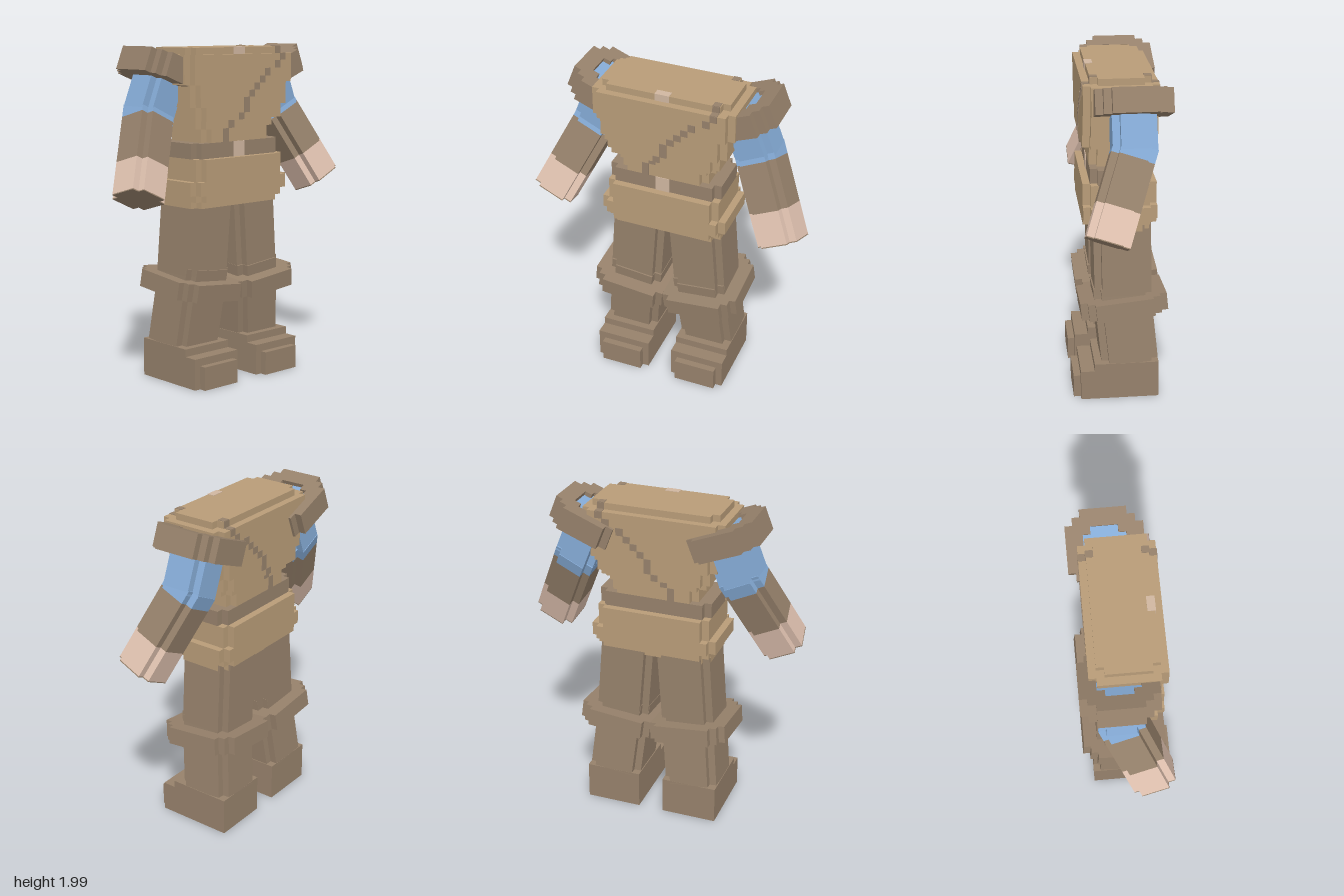
import * as THREE from 'three';

const mat = (name, color) => Object.assign(new THREE.MeshStandardMaterial({ color }), { name });

// Stepped outline from [halfWidth, halfDepth] pairs, widest first
function outline(steps, Kind = THREE.Shape) {
  const quarter = [];
  steps.forEach(([w, d], i) => {
    quarter.push([w, i ? steps[i - 1][1] : 0], [w, d]);
  });
  quarter.shift();
  const flip = quarter.slice().reverse();
  const pts = [
    ...quarter,
    ...flip.map(([x, y]) => [-x, y]),
    ...quarter.map(([x, y]) => [-x, -y]),
    ...flip.map(([x, y]) => [x, -y]),
  ].map(([x, y]) => new THREE.Vector2(x, y));
  return new Kind(pts);
}

// Block with one notch on each upright edge
const notched = (w, d, n = 0.043) => [[w, d - n], [w - n, d]];

// Upright prism between two heights
function prism(name, steps, y0, y1, material, hole) {
  const shape = outline(steps);
  if (hole) shape.holes.push(outline(hole, THREE.Path));
  const geo = new THREE.ExtrudeGeometry(shape, { depth: y1 - y0, bevelEnabled: false });
  geo.rotateX(-Math.PI / 2).translate(0, y0, 0);
  const mesh = new THREE.Mesh(geo, material);
  mesh.name = name;
  return mesh;
}

// Box from its minimum and maximum corners
function box(name, [x0, y0, z0], [x1, y1, z1], material) {
  const mesh = new THREE.Mesh(new THREE.BoxGeometry(x1 - x0, y1 - y0, z1 - z0), material);
  mesh.position.set((x0 + x1) / 2, (y0 + y1) / 2, (z0 + z1) / 2);
  mesh.name = name;
  return mesh;
}

// Group at one joint whose local -y points to the next joint
function limb(name, from, to) {
  const g = new THREE.Group();
  g.name = name;
  const a = new THREE.Vector3(...from);
  const d = new THREE.Vector3(...to).sub(a).normalize();
  g.position.copy(a);
  g.rotation.set(-Math.asin(d.z), 0, Math.atan2(d.x, -d.y), 'ZXY');
  return g;
}

export function createModel() {
  const model = new THREE.Group();
  model.name = 'blockyTunicFigure';
  const tan = mat('tunicTan', 0xb89c78);
  const brown = mat('leatherBrown', 0x96816b);
  const blue = mat('sleeveBlue', 0x85abd6);
  const skin = mat('skin', 0xe0c2b0);
  const buckle = mat('buckle', 0xd0b6a0);

  // Tunic tiers: bottom, top, half width, half depth
  const torso = new THREE.Group();
  torso.name = 'torso';
  [
    [1.94, 1.98, 0.385, 0.172], [1.77, 1.94, 0.43, 0.215], [1.64, 1.77, 0.387, 0.215],
    [1.56, 1.64, 0.345, 0.215], [1.51, 1.56, 0.31, 0.172], [1.43, 1.51, 0.267, 0.172],
    [1.34, 1.43, 0.345, 0.172], [1.21, 1.34, 0.345, 0.215], [1.13, 1.21, 0.387, 0.215],
    [1.09, 1.13, 0.345, 0.215], [1.05, 1.09, 0.345, 0.172],
  ].forEach(([y0, y1, w, d]) => {
    const isBelt = y0 === 1.34;
    torso.add(prism(isBelt ? 'belt' : 'tunicTier', notched(w, d), y0, y1, isBelt ? brown : tan));
  });
  torso.add(box('beltBuckle', [-0.047, 1.34, 0.17], [0.04, 1.43, 0.176], buckle));
  torso.add(box('collarClasp', [-0.047, 1.94, 0.13], [0.04, 1.983, 0.176], buckle));

  // Diagonal sash, stepped on front and back: column, bottom, top, surface depth
  [
    [7, 1.94, 1.98, 0.172], [7, 1.9, 1.94, 0.215], [6, 1.855, 1.9, 0.215],
    [4, 1.81, 1.855, 0.215], [3, 1.77, 1.81, 0.215], [2, 1.73, 1.77, 0.215],
    [1, 1.69, 1.73, 0.215], [0, 1.6, 1.69, 0.215], [-1, 1.56, 1.6, 0.215],
    [-2, 1.51, 1.56, 0.172], [-3, 1.43, 1.51, 0.172],
  ].forEach(([i, y0, y1, d]) => {
    const x = i * 0.0425 - 0.003;
    for (const s of [-1, 1])
      torso.add(box('sash', [x, y0, s * d - 0.004], [x + 0.0425, y1, s * d + 0.004], brown));
  });
  for (const s of [-1, 1]) {
    torso.add(box('sashTop', [0.295, 1.977, s * 0.152 - 0.021], [0.337, 1.983, s * 0.152 + 0.021], brown));
    torso.add(box('sashLedge', [0.295, 1.937, s * 0.195 - 0.021], [0.337, 1.943, s * 0.195 + 0.021], brown));
  }
  model.add(torso);

  const armSection = notched(0.125, 0.125);
  const legSection = notched(0.165, 0.17);
  for (const s of [-1, 1]) {
    const side = s > 0 ? 'left' : 'right';
    const shoulder = [s * 0.408, 1.845, -0.057];
    const elbow = [s * 0.505, 1.6, -0.057];
    const hand = [s * 0.725, 1.14, 0.116];

    // Sleeve inside an open shoulder ring
    const upperArm = limb(side + 'UpperArm', shoulder, elbow);
    upperArm.add(prism('sleeve', armSection, -0.28, 0.045, blue));
    upperArm.add(prism('shoulderPad', [[0.217, 0.13], [0.174, 0.174], [0.13, 0.217]],
      -0.07, 0.07, brown, notched(0.12, 0.12)));

    // Bent forearm with bare hand
    const forearm = limb(side + 'Forearm', elbow, hand);
    forearm.add(prism('sleeveCuff', armSection, -0.05, 0.03, blue));
    forearm.add(prism('bracer', armSection, -0.335, -0.05, brown));
    forearm.add(prism('hand', armSection, -0.532, -0.335, skin));
    forearm.add(prism('handEnd', armSection, -0.538, -0.532, brown));

    // Leg in two sections, the knee band square to the shin
    const hip = [s * 0.178, 1.06, -0.015];
    const knee = [s * 0.214, 0.58, -0.02];
    const ankle = [s * 0.25, 0.22, -0.055];
    const thigh = limb(side + 'Thigh', hip, knee);
    thigh.add(prism('trouserLeg', legSection, -0.42, 0.03, brown));
    const shin = limb(side + 'Shin', knee, ankle);
    shin.add(prism('shin', legSection, -0.375, 0.11, brown));
    shin.add(prism('kneeBand', [[0.25, 0.172], [0.212, 0.215], [0.17, 0.258]], -0.06, 0.045, brown));

    // Boot with a stepped toe
    const boot = new THREE.Group();
    boot.name = side + 'Boot';
    boot.position.x = s * 0.248;
    boot.add(box('bootHeel', [-0.17, 0, -0.225], [0.17, 0.23, 0.16], brown));
    boot.add(box('bootFront', [-0.17, 0, 0.16], [0.17, 0.185, 0.243], brown));
    boot.add(box('bootToe', [-0.13, 0, 0.243], [0.13, 0.14, 0.285], brown));

    model.add(upperArm, forearm, thigh, shin, boot);
  }
  return model;
}
